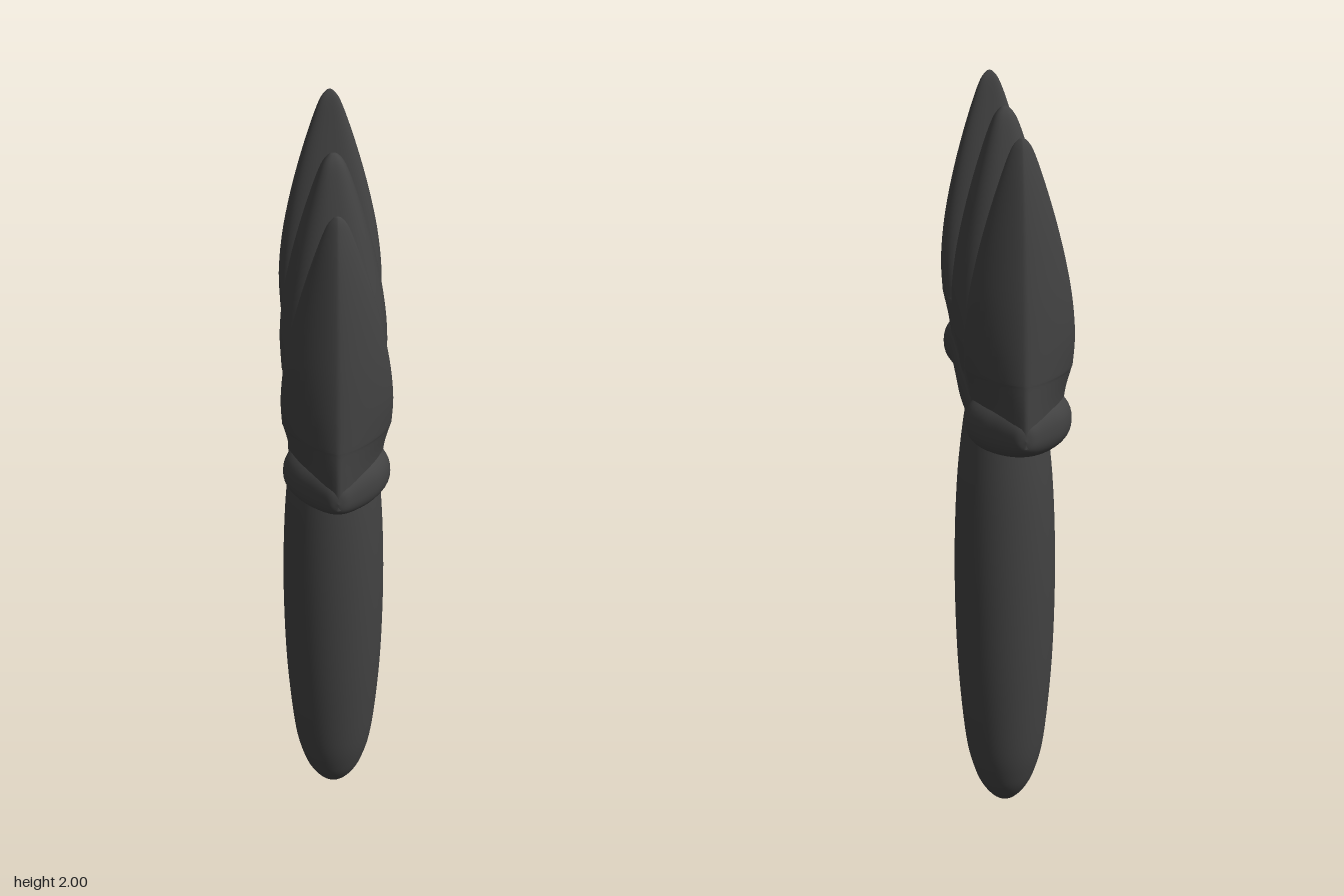
import * as THREE from 'three';

const SIDES = 48;

// Point on a superellipse; the positive and negative halves may differ in roundness.
function outline(a, nPos, nNeg) {
  const c = Math.cos(a), s = Math.sin(a);
  const e = 2 / (s >= 0 ? nPos : nNeg);
  return [Math.sign(c) * Math.abs(c) ** e, Math.sign(s) * Math.abs(s) ** e];
}

// Smooth loft. Each row: [position along axis, half width in x, low edge, high edge].
// axis 'y' puts the edges on z; axis 'z' puts them on y.
function loft(rows, axis, { nPos = 2, nNeg = 2, mid = 0.5, steps = 48 } = {}) {
  const spine = new THREE.CatmullRomCurve3(rows.map(r => new THREE.Vector3(r[0], r[2], r[3])), false, 'catmullrom', 0.5);
  const width = new THREE.CatmullRomCurve3(rows.map(r => new THREE.Vector3(r[0], r[1], 0)), false, 'catmullrom', 0.5);
  const pos = [], index = [];
  for (let i = 0; i <= steps; i++) {
    const p = spine.getPoint(i / steps), hx = Math.max(0, width.getPoint(i / steps).y);
    const centre = p.y + (p.z - p.y) * mid;
    for (let j = 0; j < SIDES; j++) {
      const a = (axis === 'y' ? 1 : -1) * j / SIDES * Math.PI * 2;
      const [u, v] = outline(a, nPos, nNeg);
      const w = centre + v * (v >= 0 ? p.z - centre : centre - p.y);
      if (axis === 'y') pos.push(u * hx, p.x, w);
      else pos.push(u * hx, w, p.x);
      if (i < steps) {
        const k = i * SIDES + j, n = i * SIDES + (j + 1) % SIDES;
        index.push(k, k + SIDES, n, n, k + SIDES, n + SIDES);
      }
    }
  }
  const g = new THREE.BufferGeometry();
  g.setAttribute('position', new THREE.Float32BufferAttribute(pos, 3));
  g.setIndex(index);
  g.computeVertexNormals();
  return g;
}

export function createModel() {
  const group = new THREE.Group();
  const darkGrey = new THREE.MeshStandardMaterial({ color: 0x424242 });
  darkGrey.name = 'darkGrey';
  const add = (name, geometry) => {
    const mesh = new THREE.Mesh(geometry, darkGrey);
    mesh.name = name;
    group.add(mesh);
    return mesh;
  };

  // Handle: a long rounded grip
  const grip = [[0, 0], [0.028, 0.008], [0.06, 0.045], [0.085, 0.1], [0.108, 0.2], [0.127, 0.4],
    [0.135, 0.6], [0.135, 0.8], [0.126, 1.0], [0.107, 1.17], [0.09, 1.24]];
  const curve = new THREE.SplineCurve(grip.map(([r, y]) => new THREE.Vector2(r, y)));
  const profile = curve.getPoints(50).map(p => p.set(Math.max(0, p.x), Math.max(0, p.y)));
  add('handle', new THREE.LatheGeometry(profile, SIDES));

  // Crossbar: swollen near both ends, tapering to blunt points
  const half = [[0, 0.122, 1.15, 1.37], [0.12, 0.12, 1.155, 1.37], [0.24, 0.12, 1.168, 1.365],
    [0.3, 0.133, 1.178, 1.36], [0.36, 0.108, 1.195, 1.35], [0.4, 0.073, 1.21, 1.34],
    [0.43, 0.04, 1.228, 1.32], [0.445, 0.02, 1.245, 1.3], [0.45, 0, 1.27, 1.27]];
  const bar = [...half.slice(1).reverse().map(([z, ...r]) => [-z, ...r]), ...half];
  add('crossbar', loft(bar, 'z', { nPos: 2.3, nNeg: 2.3, steps: 96 }));

  // Web filling the valleys between the prongs
  const web = [-0.28, -0.19, 0, 0.19, 0.28].map(z => [z, 0.113, 1.22, 1.415]);
  add('web', loft(web, 'z', { nPos: 5, nNeg: 5, steps: 8 }));

  // Middle prong
  const middle = [[1.25, 0.11, 0.24], [1.34, 0.119, 0.215], [1.4, 0.131, 0.188], [1.42, 0.134, 0.172],
    [1.5, 0.136, 0.143], [1.6, 0.126, 0.116], [1.7, 0.107, 0.092], [1.8, 0.082, 0.068],
    [1.9, 0.052, 0.043], [1.96, 0.03, 0.025], [1.985, 0.012, 0.01], [1.99, 0, 0]];
  add('middleProng', loft(middle.map(([y, x, z]) => [y, x, -z, z]), 'y', { nPos: 2.5, nNeg: 2.5 }));

  // Outer prongs: full on the inside, keeled on the outside
  const outer = [[1.25, 0.11, 0.14, 0.449], [1.34, 0.119, 0.165, 0.447], [1.4, 0.131, 0.195, 0.443],
    [1.42, 0.134, 0.21, 0.442], [1.5, 0.136, 0.238, 0.436], [1.6, 0.126, 0.263, 0.427],
    [1.7, 0.107, 0.283, 0.415], [1.8, 0.082, 0.302, 0.401], [1.9, 0.052, 0.322, 0.383],
    [1.97, 0.027, 0.336, 0.365], [1.995, 0.01, 0.345, 0.355], [2, 0, 0.35, 0.35]];
  const prong = loft(outer, 'y', { nPos: 1.4, nNeg: 2.8, mid: 0.4 });
  add('frontProng', prong);
  add('backProng', prong).rotation.y = Math.PI;

  return group;
}
